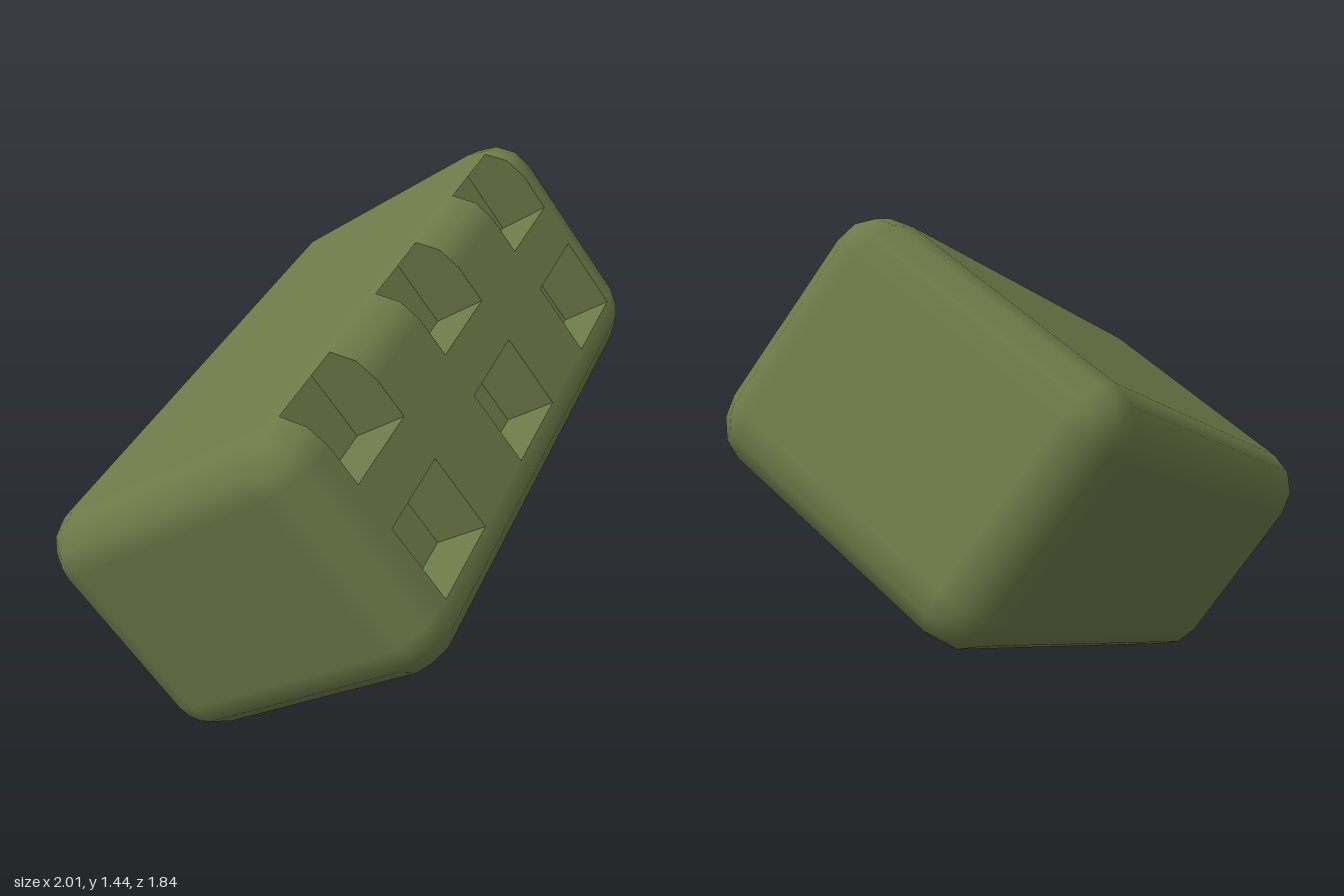
import * as THREE from 'three';

// Inner half sizes (length, height, depth), edge radius, pocket floor depth
const A = 0.768, B = 0.25, C = 0.362, R = 0.142;
const FLOOR = C + R - 0.17;
const PITCH = 0.593, HALF_POCKET = 0.147, STEPS = 3;

// Rounded-rectangle section: a core point plus an outward direction
function sectionPoints() {
  const pts = [];
  const corner = (y, z, start) => {
    for (let i = 0; i <= STEPS; i++) {
      const a = THREE.MathUtils.degToRad(start - (90 * i) / STEPS);
      pts.push({ y, z, dy: Math.cos(a), dz: Math.sin(a) });
    }
  };
  corner(-B, C, 180);
  for (const y of [-0.013, 0.13]) pts.push({ y, z: C, dy: 0, dz: 1 }); // pocket edges
  corner(B, C, 90);
  corner(B, -C, 0);
  corner(-B, -C, -90);
  return pts;
}

// Stations along the length: rounded end, pocket edges, rounded end
function stationList() {
  const end = (side) => Array.from({ length: STEPS + 1 }, (_, i) => {
    const a = (i / STEPS) * Math.PI / 2;
    return { x: side * (A + R * Math.sin(a)), r: R * Math.cos(a), nx: side * Math.sin(a) };
  });
  const middle = [-1, 0, 1].flatMap((c) => [-1, 1].map((s) => (
    { x: c * PITCH + s * HALF_POCKET, r: R, nx: 0 })));
  return [...end(-1).reverse(), ...middle, ...end(1)];
}

const ROWS = [[3, 4], [5, 8]];                       // section index ranges of the pockets
const COLUMNS = [0, 1, 2].map((c) => STEPS + 1 + 2 * c);  // first station of each pocket

// Smooth outer skin with pocket openings left out
function shellGeometry(section, stations) {
  const pos = [], nor = [], idx = [], n = section.length;
  for (const s of stations) {
    const k = Math.sqrt(Math.max(0, 1 - s.nx * s.nx));
    for (const p of section) {
      pos.push(s.x, p.y + s.r * p.dy, p.z + s.r * p.dz);
      nor.push(s.nx, k * p.dy, k * p.dz);
    }
  }
  for (let j = 0; j < stations.length - 1; j++) {
    for (let i = 0; i < n; i++) {
      if (COLUMNS.includes(j) && ROWS.some(([a, b]) => i >= a && i < b)) continue;
      const i2 = (i + 1) % n;
      const a = j * n + i, b = a + n, c = (j + 1) * n + i2, d = j * n + i2;
      idx.push(a, b, c, a, c, d);
    }
  }
  // Flat ends
  const last = (stations.length - 1) * n;
  for (let i = 1; i < n - 1; i++) {
    idx.push(0, i, i + 1, last, last + i + 1, last + i);
  }
  const g = new THREE.BufferGeometry();
  g.setAttribute('position', new THREE.Float32BufferAttribute(pos, 3));
  g.setAttribute('normal', new THREE.Float32BufferAttribute(nor, 3));
  g.setIndex(idx);
  return g;
}

// Floor and four walls of one pocket; side walls follow the rounded edge
function pocketGeometry(profile, x0, x1) {
  const pos = [];
  const quad = (a, b, c, d) => pos.push(...a, ...b, ...c, ...a, ...c, ...d);
  const [y0, t0] = profile[0], [y1, t1] = profile[profile.length - 1], f = FLOOR;
  quad([x0, y0, f], [x1, y0, f], [x1, y1, f], [x0, y1, f]);
  quad([x0, y0, f], [x0, y0, t0], [x1, y0, t0], [x1, y0, f]);
  quad([x0, y1, f], [x1, y1, f], [x1, y1, t1], [x0, y1, t1]);
  for (let i = 0; i < profile.length - 1; i++) {
    const [ya, ta] = profile[i], [yb, tb] = profile[i + 1];
    quad([x0, ya, f], [x0, yb, f], [x0, yb, tb], [x0, ya, ta]);
    quad([x1, ya, f], [x1, ya, ta], [x1, yb, tb], [x1, yb, f]);
  }
  const g = new THREE.BufferGeometry();
  g.setAttribute('position', new THREE.Float32BufferAttribute(pos, 3));
  g.computeVertexNormals();
  return g;
}

export function createModel() {
  const olive = new THREE.MeshStandardMaterial({ color: 0x6e7a48 });
  olive.name = 'olive';
  const section = sectionPoints(), stations = stationList();

  const block = new THREE.Group();
  block.name = 'block';
  const shell = new THREE.Mesh(shellGeometry(section, stations), olive);
  shell.name = 'roundedBody';
  block.add(shell);

  for (const [a, b] of ROWS) {
    const profile = section.slice(a, b + 1).map((p) => [p.y + R * p.dy, p.z + R * p.dz]);
    for (const j of COLUMNS) {
      const pocket = new THREE.Mesh(pocketGeometry(profile, stations[j].x, stations[j + 1].x), olive);
      pocket.name = 'pocket';
      block.add(pocket);
    }
  }

  // Tumbled resting pose
  const u = new THREE.Vector3(0.803, 0.248, -0.543).normalize();
  const n = u.clone().cross(new THREE.Vector3(-0.469, 0.819, -0.332)).normalize();
  const v = n.clone().cross(u);
  block.quaternion.setFromRotationMatrix(new THREE.Matrix4().makeBasis(u, v, n));
  block.position.y = 0.72;

  const model = new THREE.Group();
  model.name = 'pocketedBlock';
  model.add(block);
  return model;
}
